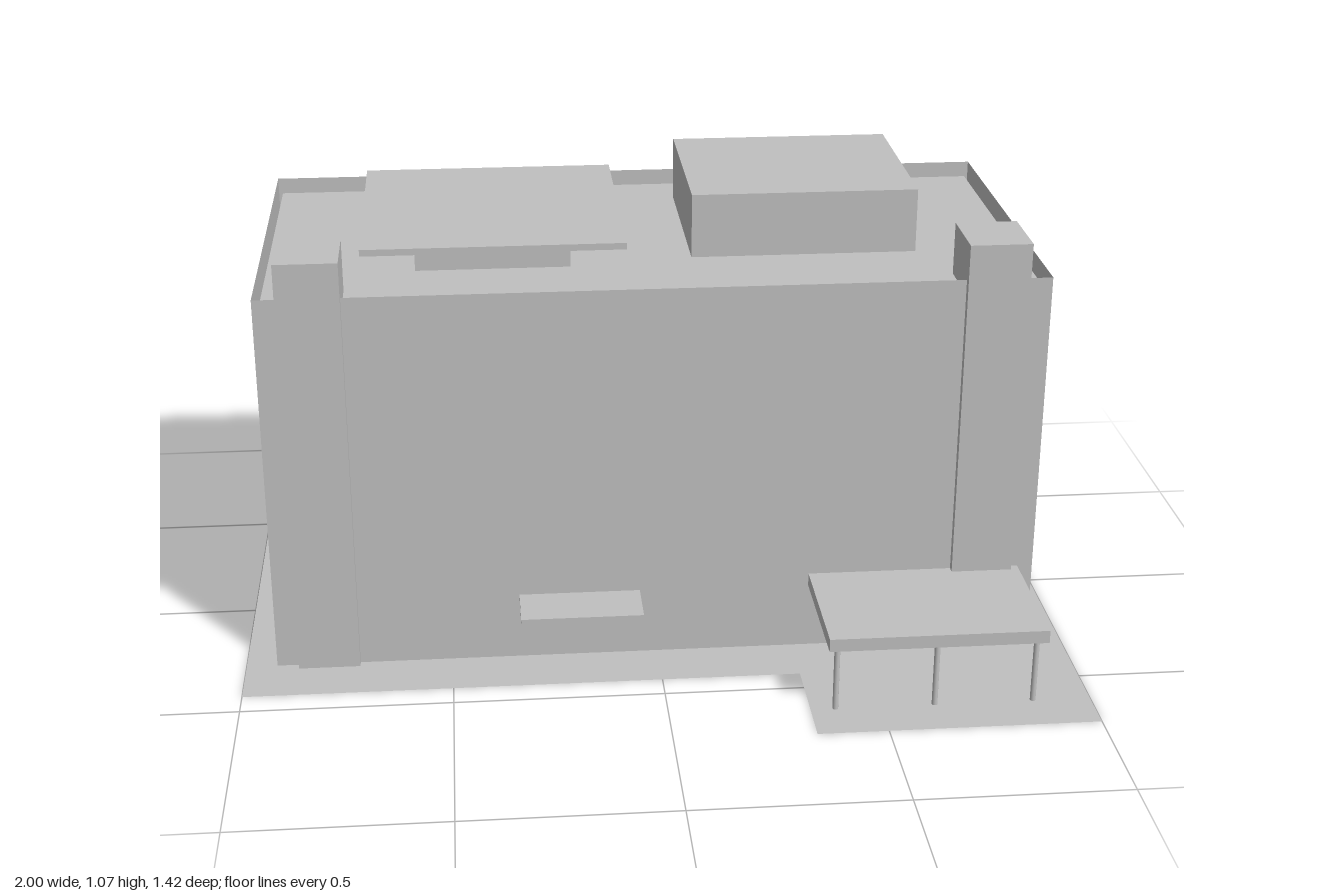
import * as THREE from 'three';

export function createModel() {
  const model = new THREE.Group();
  model.name = 'building';
  const grey = new THREE.MeshStandardMaterial({ color: 0xc0c0c0, side: THREE.DoubleSide });
  grey.name = 'plain grey';

  const add = (name, geometry, x = 0, y = 0, z = 0, parent = model) => {
    const mesh = new THREE.Mesh(geometry, grey);
    mesh.name = name;
    mesh.position.set(x, y, z);
    parent.add(mesh);
    return mesh;
  };
  // Box given by its lower and upper limits on each axis
  const box = (name, [x0, x1], [y0, y1], [z0, z1]) =>
    add(name, new THREE.BoxGeometry(x1 - x0, y1 - y0, z1 - z0),
      (x0 + x1) / 2, (y0 + y1) / 2, (z0 + z1) / 2);

  const left = 0.924, right = -0.926, front = 0.289, back = -0.638, wallTop = 0.945;
  const width = left - right, depth = front - back;
  const midX = (left + right) / 2, midZ = (front + back) / 2;

  // Paving: flat L-shaped sheet, open under the building
  const paving = new THREE.Shape([
    [-1, 0.711], [1, 0.711], [1, -0.711], [0.333, -0.711], [0.333, -0.433], [-1, -0.433],
  ].map(([x, y]) => new THREE.Vector2(x, y)));
  paving.holes.push(new THREE.Path([
    [right, -front], [right, -back], [left, -back], [left, -front],
  ].map(([x, y]) => new THREE.Vector2(x, y))));
  add('paving', new THREE.ShapeGeometry(paving).rotateX(-Math.PI / 2));

  // Outer walls: an open shell whose upper rim is the parapet
  const walls = new THREE.Group();
  walls.name = 'walls';
  model.add(walls);
  [
    ['frontWall', width, midX, front, 0],
    ['leftWall', depth, left, midZ, Math.PI / 2],
    ['backWall', width, midX, back, Math.PI],
    ['rightWall', depth, right, midZ, -Math.PI / 2],
  ].forEach(([name, length, x, z, turn]) => {
    add(name, new THREE.PlaneGeometry(length, wallTop), x, wallTop / 2, z, walls).rotation.y = turn;
  });

  // Roof sheet, slightly inset and sunk behind the parapet
  const roofY = 0.908;
  add('roof', new THREE.PlaneGeometry(width - 0.022, depth - 0.022).rotateX(-Math.PI / 2),
    midX, roofY, midZ);

  // Corner towers
  box('rightTower', [-0.873, -0.725], [0, 1.035], [0.14, 0.308]);
  box('leftTower', [0.72, 0.867], [0, 1.035], [0.14, 0.308]);

  // Roof plant room, and a slab on a smaller plinth
  box('plantRoom', [0.11, 0.662], [roofY, 1.066], [-0.509, -0.028]);
  box('slabPlinth', [-0.56, -0.187], [roofY, 0.99], [-0.37, 0.015]);
  box('roofSlab', [-0.685, -0.06], [0.99, 1.006], [-0.492, 0.137]);

  // Canopy over the small entrance
  box('smallCanopy', [-0.335, -0.043], [0.155, 0.168], [front, 0.417]);

  // Porch roof on three slim posts
  box('porchRoof', [0.37, 0.887], [0.163, 0.195], [front, 0.622]);
  for (const x of [0.392, 0.628, 0.863]) {
    add('porchPost', new THREE.CylinderGeometry(0.007, 0.007, 0.163, 12), x, 0.0815, 0.6);
  }
  return model;
}
